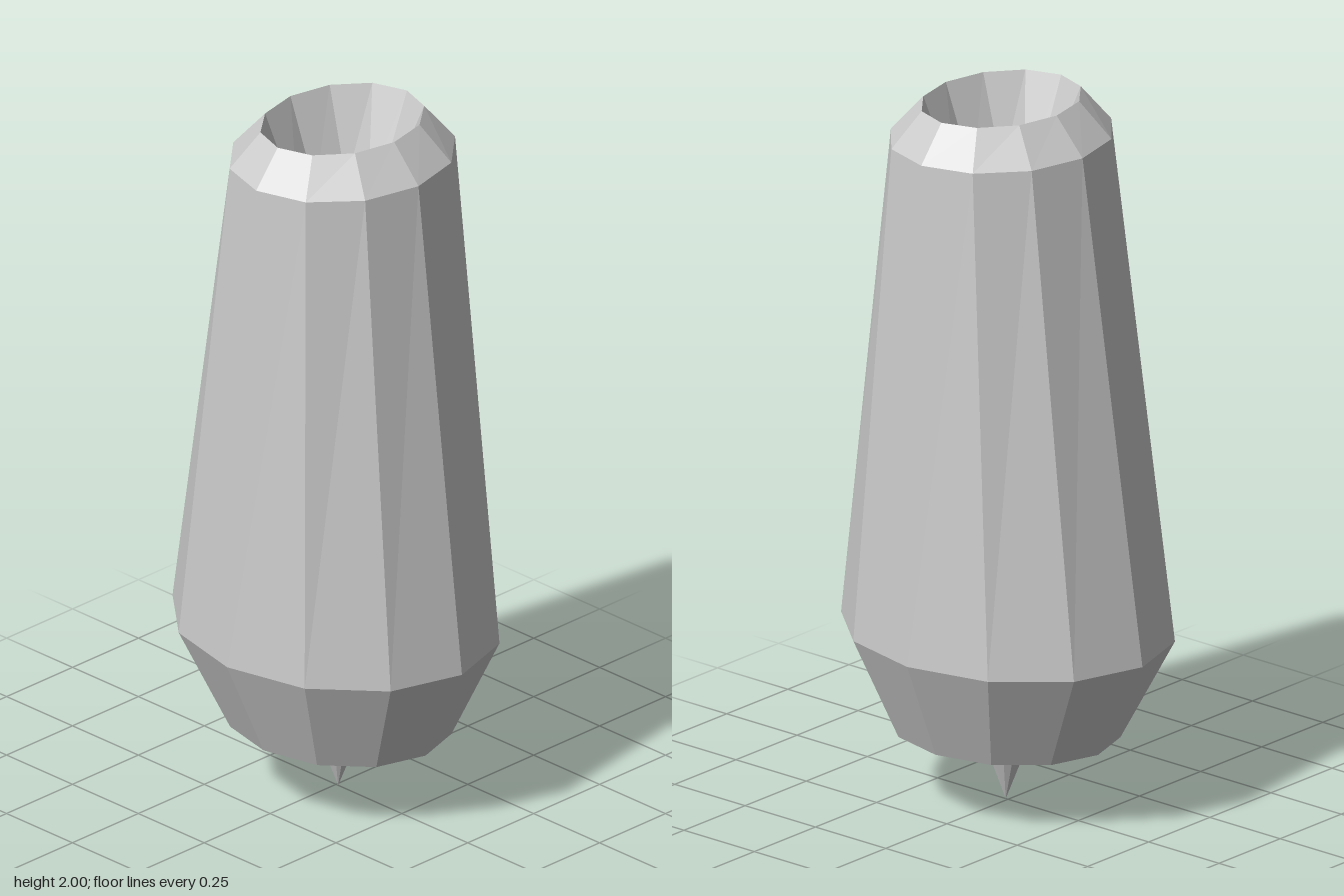
import * as THREE from 'three';

const SIDES = 12;
const material = new THREE.MeshStandardMaterial({ color: 0xcccccc, flatShading: true });

// Skins a stack of elliptical rings; skew bunches the corners towards front and back.
function loft(name, rings) {
  const positions = [], index = [];
  for (const { y, cx, rx, rz, skew = 0 } of rings) {
    for (let i = 0; i < SIDES; i++) {
      const t = (i / SIDES) * Math.PI * 2;
      const a = t - skew * Math.sin(2 * t);
      positions.push(cx + rx * Math.sin(a), y, rz * Math.cos(a));
    }
  }
  for (let r = 0; r < rings.length - 1; r++) {
    for (let i = 0; i < SIDES; i++) {
      const j = (i + 1) % SIDES;
      const a = r * SIDES + i, b = r * SIDES + j;
      const c = b + SIDES, d = a + SIDES;
      // Rings of zero size are points, so they need one triangle per side
      if (rings[r].rx > 0) index.push(a, b, c);
      if (rings[r + 1].rx > 0) index.push(a, c, d);
    }
  }
  const indexed = new THREE.BufferGeometry();
  indexed.setAttribute('position', new THREE.Float32BufferAttribute(positions, 3));
  indexed.setIndex(index);
  const geometry = indexed.toNonIndexed();
  geometry.computeVertexNormals();
  const mesh = new THREE.Mesh(geometry, material);
  mesh.name = name;
  return mesh;
}

export function createModel() {
  const model = new THREE.Group();
  model.name = 'taperedPod';

  // Casing, from the recess underneath, up the outside and into the top opening
  model.add(loft('casing', [
    { y: 0.30, cx: 0.01, rx: 0, rz: 0 },
    { y: 0.30, cx: 0.01, rx: 0.18, rz: 0.155 },
    { y: 0.205, cx: 0.01, rx: 0.33, rz: 0.285 },
    { y: 0.495, cx: 0, rx: 0.478, rz: 0.413 },
    { y: 1.90, cx: 0.024, rx: 0.289, rz: 0.327 },
    { y: 2.00, cx: 0.024, rx: 0.197, rz: 0.245 },
    { y: 1.75, cx: 0.024, rx: 0.101, rz: 0.143, skew: 0.2 },
    { y: 1.75, cx: 0.024, rx: 0, rz: 0 },
  ]));

  // Spike hanging from the recess
  model.add(loft('spike', [
    { y: 0, cx: 0.008, rx: 0, rz: 0 },
    { y: 0.30, cx: 0.008, rx: 0.118, rz: 0.103 },
  ]));

  return model;
}
